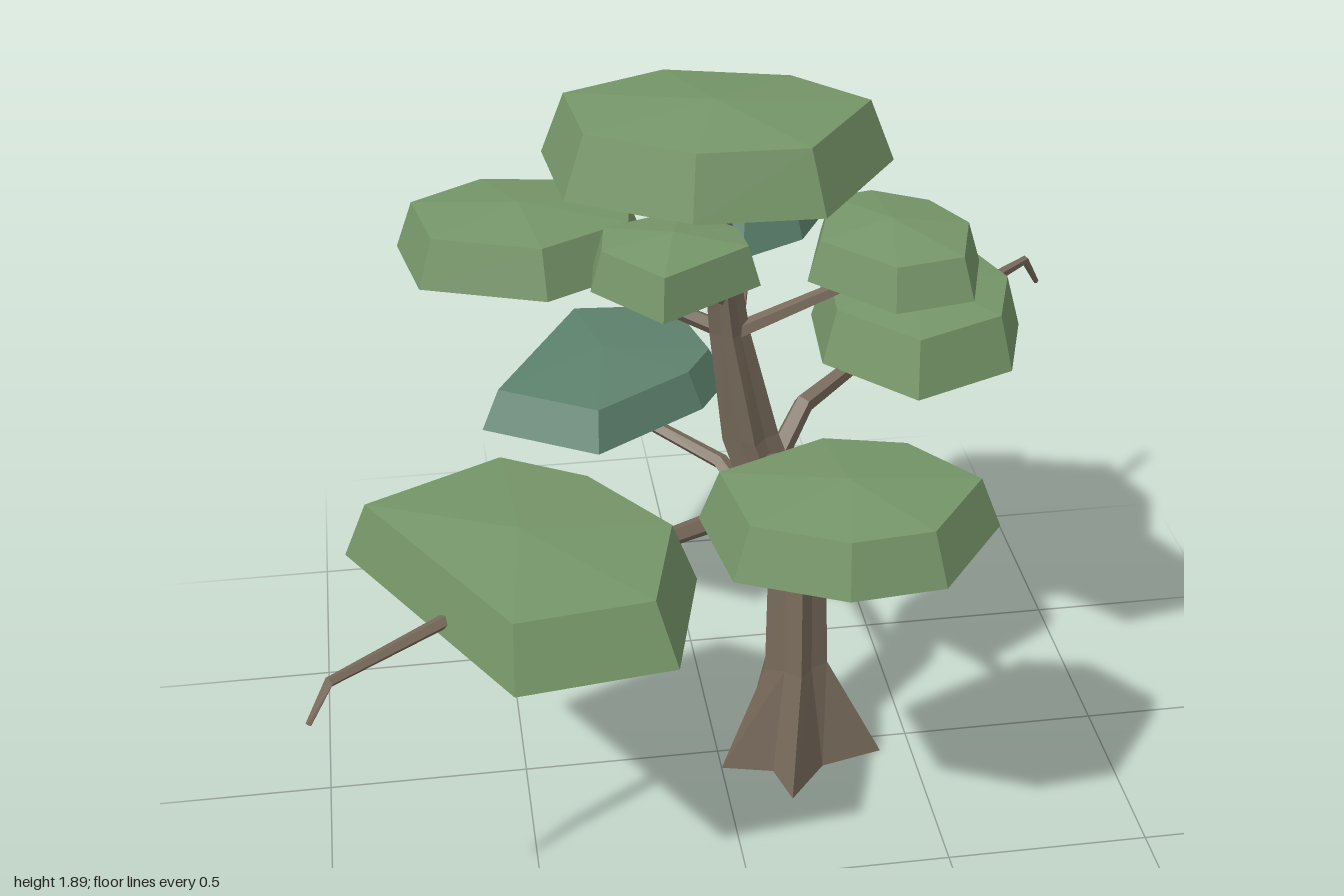
import * as THREE from 'three';

const V = (p) => new THREE.Vector3(...p);

// Skin through equal-length rings of points, closed by a bottom and a top point.
function loft(rings, bottom, top) {
  const pos = [];
  const tri = (...pts) => pts.forEach((p) => pos.push(p.x, p.y, p.z));
  const n = rings[0].length;
  const last = rings[rings.length - 1];
  for (let i = 0; i < n; i++) {
    const j = (i + 1) % n;
    tri(bottom, rings[0][i], rings[0][j]);
    for (let k = 0; k + 1 < rings.length; k++) {
      const a = rings[k], b = rings[k + 1];
      tri(a[j], a[i], b[i]);
      tri(a[j], b[i], b[j]);
    }
    tri(top, last[j], last[i]);
  }
  const geo = new THREE.BufferGeometry();
  geo.setAttribute('position', new THREE.Float32BufferAttribute(pos, 3));
  geo.computeVertexNormals();
  return geo;
}

// Leaf pad: corners on an oval stretched along its diagonal by `lean`,
// with a wide lower rim, an inset upper rim and a shallow cone above and below.
function padGeometry({ at: [x, y, z], size: [rx, h, rz], lean, corners }) {
  const ring = (s, level) => corners.map((deg) => {
    const a = THREE.MathUtils.degToRad(deg);
    const r = s * (1 + lean * Math.sin(2 * a));
    return V([x + rx * r * Math.cos(a), level, z + rz * r * Math.sin(a)]);
  });
  return loft([ring(1, y), ring(0.86, y + h)], V([x, y - 0.055, z]), V([x, y + h + 0.025, z]));
}

// Five-sided tapering branch along a bent path.
function branchGeometry(path, r0, r1) {
  const pts = path.map(V);
  const rings = pts.map((p, i) => {
    const d = pts[Math.min(i + 1, pts.length - 1)].clone().sub(pts[Math.max(i - 1, 0)]).normalize();
    const u = new THREE.Vector3(0, 1, 0).cross(d).normalize();
    const v = u.clone().cross(d);
    const r = THREE.MathUtils.lerp(r0, r1, i / (pts.length - 1));
    return Array.from({ length: 5 }, (_, k) => {
      const a = (k / 5) * Math.PI * 2;
      return p.clone().addScaledVector(u, Math.cos(a) * r).addScaledVector(v, Math.sin(a) * r);
    });
  });
  return loft(rings, pts[0], pts[pts.length - 1]);
}

// Trunk: ridged five-pointed section, flaring into roots at the ground.
function trunkGeometry() {
  const roots = [[0.42, 0.06], [0.16, 0.22], [0, 0.07], [0.1, -0.12], [0.33, -0.13]];
  const base = [];
  roots.forEach(([x, z], i) => {
    const [nx, nz] = roots[(i + 1) % 5];
    base.push(V([x, 0, z]));
    base.push(V([0.21 + ((x + nx) / 2 - 0.21) * 0.62, 0, 0.035 + ((z + nz) / 2 - 0.035) * 0.62]));
  });
  // x, y, z, ridge radius, valley radius
  const sections = [
    [0.19, 0.3, 0.035, 0.085, 0.06],
    [0.19, 0.62, 0.03, 0.078, 0.056],
    [0.07, 0.98, 0.03, 0.072, 0.052],
    [0.015, 1.28, 0.065, 0.05, 0.038],
    [-0.04, 1.72, 0.145, 0.032, 0.025],
  ];
  const rings = sections.map(([x, y, z, ro, ri]) => Array.from({ length: 10 }, (_, k) => {
    const a = 0.25 + (k / 10) * Math.PI * 2, r = k % 2 ? ri : ro;
    return V([x + Math.cos(a) * r, y, z + Math.sin(a) * r]);
  }));
  return loft([base, ...rings], V([0.21, 0, 0.035]), V([-0.04, 1.74, 0.15]));
}

// Lower rim centre, half width / rim height / half depth, lean, corner bearings in degrees.
const PADS = [
  { name: 'lowBackPad', teal: true, at: [-0.22, 0.8, -0.555], size: [0.33, 0.1, 0.33], lean: -0.15,
    corners: [-100, -48, 3, 32, 98, 152] },
  { name: 'lowFrontPad', at: [-0.51, 0.855, 0.45], size: [0.395, 0.15, 0.4], lean: 0.15,
    corners: [-151, -93, -53, 0, 47, 97] },
  { name: 'midRightPad', at: [-0.45, 1.445, -0.045], size: [0.3, 0.115, 0.23], lean: 0.04,
    corners: [-154, -106, -55, -7, 25, 82, 145] },
  { name: 'crownPad', at: [-0.03, 1.725, 0.165], size: [0.4, 0.145, 0.28], lean: 0.1,
    corners: [-147, -103, -51, -1, 63, 103, 157] },
  { name: 'midFrontPad', at: [0.19, 1.05, 0.625], size: [0.34, 0.125, 0.25], lean: 0.04,
    corners: [-151, -93, -54, 1, 61, 97, 146] },
  { name: 'midLeftPad', at: [0.565, 1, -0.36], size: [0.275, 0.14, 0.345], lean: -0.03,
    corners: [-155, -104, -46, -2, 43, 104, 160] },
  { name: 'highBackPad', teal: true, at: [0.13, 1.405, -0.305], size: [0.21, 0.075, 0.25], lean: -0.17,
    corners: [-147, -96, -49, -10, 59, 106, 157] },
  { name: 'highLeftPad', at: [0.355, 1.495, 0.225], size: [0.205, 0.095, 0.235], lean: 0.08,
    corners: [-122, -91, -45, -1, 49, 100, 169] },
  { name: 'highFrontPad', at: [-0.165, 1.625, 0.48], size: [0.178, 0.09, 0.195], lean: 0.04,
    corners: [-148, -73, -18, 13, 105, 174] },
];

// Name, start radius, end radius, path.
const BRANCHES = [
  ['lowBackBranch', 0.025, 0.015, [[0.17, 0.62, 0.01], [0.04, 0.75, -0.22], [-0.1, 0.78, -0.36], [-0.25, 0.82, -0.5]]],
  ['lowFrontBranch', 0.032, 0.007, [[0.15, 0.71, 0.03], [0, 0.835, 0.17], [-0.2, 0.86, 0.3],
    [-0.68, 0.89, 0.575], [-0.94, 0.87, 0.74], [-0.99, 0.79, 0.775]]],
  ['midFrontBranch', 0.026, 0.015, [[0.1, 0.89, 0.04], [0.15, 1.035, 0.27], [0.19, 1.06, 0.42], [0.19, 1.08, 0.6]]],
  ['midLeftBranch', 0.03, 0.007, [[0.12, 0.85, 0.02], [0.23, 0.965, -0.11], [0.38, 0.99, -0.24],
    [0.8, 1.03, -0.56], [0.94, 1.02, -0.69], [0.99, 0.93, -0.735]]],
  ['midRightBranch', 0.022, 0.013, [[0.02, 1.27, 0.06], [-0.4, 1.45, -0.04]]],
  ['highBackBranch', 0.022, 0.014, [[0.03, 1.19, 0.04], [0.12, 1.38, -0.28]]],
  ['highLeftBranch', 0.022, 0.013, [[0.01, 1.26, 0.06], [0.37, 1.5, 0.22]]],
  ['highFrontBranch', 0.02, 0.013, [[0.01, 1.36, 0.07], [-0.16, 1.62, 0.42]]],
];

export function createModel() {
  const flat = (name, color) => {
    const m = new THREE.MeshStandardMaterial({ color, flatShading: true });
    m.name = name;
    return m;
  };
  const bark = flat('bark', 0x7a6c5d);
  const leaf = flat('leafGreen', 0x769669);
  const teal = flat('leafTeal', 0x5d826d);

  const tree = new THREE.Group();
  tree.name = 'tree';
  const add = (name, geo, mat) => {
    const mesh = new THREE.Mesh(geo, mat);
    mesh.name = name;
    tree.add(mesh);
  };
  add('trunk', trunkGeometry(), bark);
  BRANCHES.forEach(([name, r0, r1, path]) => add(name, branchGeometry(path, r0, r1), bark));
  PADS.forEach((pad) => add(pad.name, padGeometry(pad), pad.teal ? teal : leaf));
  return tree;
}
